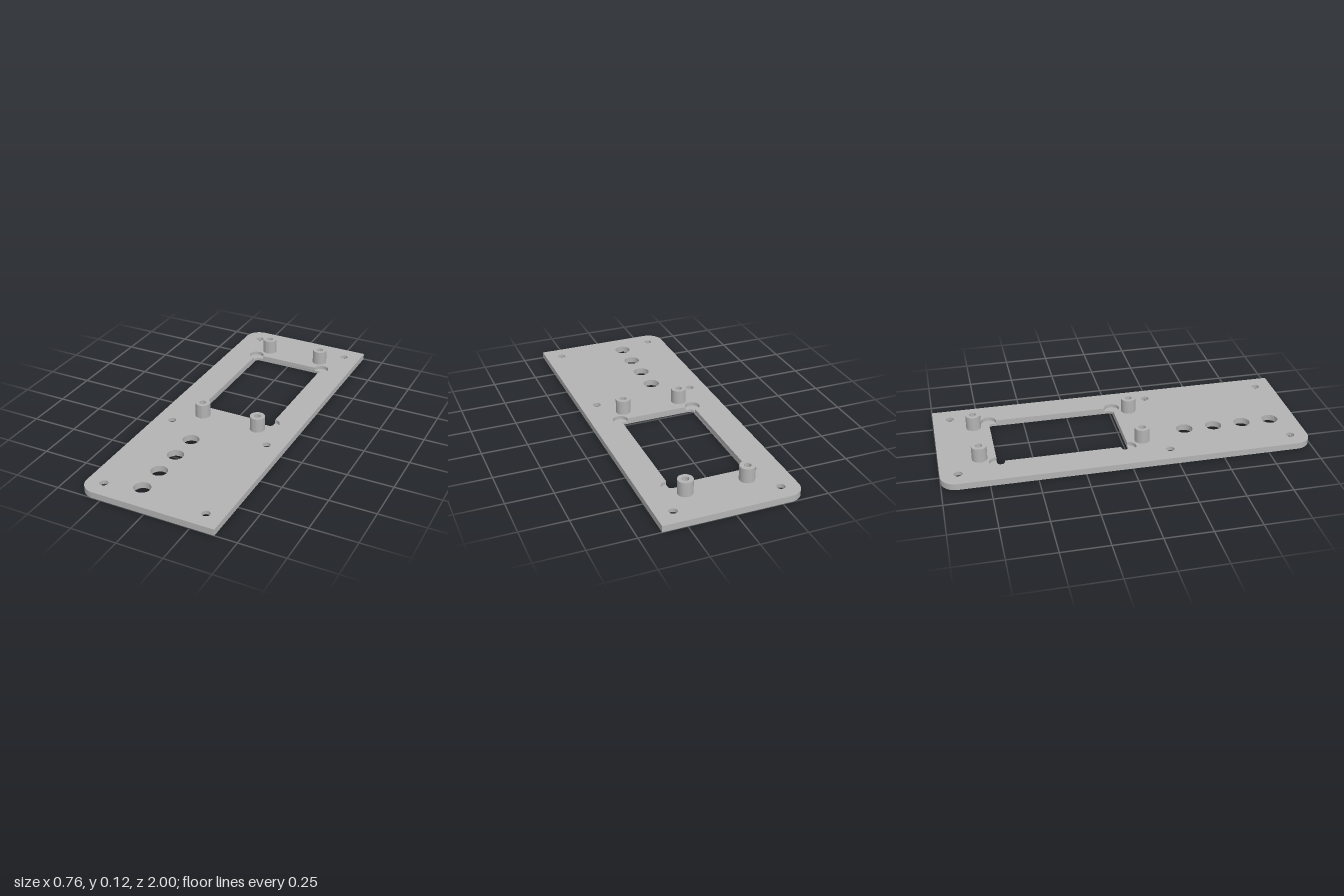
import * as THREE from 'three';
import { toCreasedNormals } from 'three/addons/utils/BufferGeometryUtils.js';

const HALF_W = 0.38, HALF_L = 1, TOP = 0.035, STEP = 0.015;
const WINDOW = { x0: -0.21, x1: 0.22, z0: -0.695, z1: 0.013 };
const SCREW_R = 0.022, SINK_R = 0.039;

const corners = ({ x0, x1, z0, z1 }) => [[x0, z0], [x1, z0], [x1, z1], [x0, z1]];

// Plate outline: the two corners on the -x side are rounded
function outline() {
  const r = 0.085, s = new THREE.Shape();
  s.moveTo(HALF_W, -HALF_L);
  s.lineTo(HALF_W, HALF_L);
  s.absarc(-HALF_W + r, HALF_L - r, r, Math.PI / 2, Math.PI, false);
  s.absarc(-HALF_W + r, -HALF_L + r, r, Math.PI, Math.PI * 1.5, false);
  s.closePath();
  return s;
}

function circle(x, z, r) {
  return new THREE.Path().absarc(x, z, r, 0, Math.PI * 2, true);
}

// Window with small rounded corners
function roundedWindow(r) {
  const p = new THREE.Path();
  corners(WINDOW).forEach(([x, z], k) => {
    const cx = x + (x < 0 ? r : -r), cz = z + (k < 2 ? r : -r);
    p.absarc(cx, cz, r, Math.PI * (1 + k / 2), Math.PI * (1.5 + k / 2), false);
  });
  p.closePath();
  return p;
}

// Window with a round relief at every corner
function relievedWindow(r) {
  const p = new THREE.Path();
  corners(WINDOW).forEach(([x, z], k) => {
    p.absarc(x, z, r, Math.PI * (0.5 + k / 2), Math.PI * (2 + k / 2), false);
  });
  p.closePath();
  return p;
}

export function createModel() {
  const group = new THREE.Group();
  const grey = new THREE.MeshStandardMaterial({ color: 0xb3b3b3 });
  grey.name = 'grey';

  const add = (name, geometry, x = 0, y = 0, z = 0) => {
    const mesh = new THREE.Mesh(toCreasedNormals(geometry, 0.6), grey);
    mesh.name = name;
    mesh.position.set(x, y, z);
    group.add(mesh);
  };

  const screws = [];
  for (const x of [-0.286, 0.286]) for (const z of [-0.905, 0.225, 0.905]) screws.push([x, z]);
  const buttons = [0.356, 0.523, 0.689, 0.854].map((z) => [-0.096, z]);

  // Plate in two layers, so the window reliefs stop part way down
  const layer = (name, windowPath, screwR, top, depth) => {
    const shape = outline();
    shape.holes.push(windowPath);
    screws.forEach(([x, z]) => shape.holes.push(circle(x, z, screwR)));
    buttons.forEach(([x, z]) => shape.holes.push(circle(x, z, 0.045)));
    const g = new THREE.ExtrudeGeometry(shape, { depth, bevelEnabled: false, curveSegments: 24 });
    g.rotateX(Math.PI / 2);
    add(name, g, 0, top, 0);
  };
  layer('lowerPlate', roundedWindow(0.02), SINK_R, STEP, STEP);
  layer('upperPlate', relievedWindow(0.042), SCREW_R, TOP, TOP - STEP);

  // Conical countersinks on the underside of the screw holes
  screws.forEach(([x, z]) => {
    const profile = [[SCREW_R, STEP], [SINK_R, 0]].map(([r, y]) => new THREE.Vector2(r, y));
    add('countersink', new THREE.LatheGeometry(profile, 32), x, 0, z);
  });

  // Hollow mounting posts around the window
  const post = [[0.041, TOP], [0.041, 0.115], [0.019, 0.115], [0.019, 0.04], [0, 0.04]]
    .map(([r, y]) => new THREE.Vector2(r, y));
  for (const x of [-0.161, 0.172]) for (const z of [-0.782, 0.099]) {
    add('mountingPost', new THREE.LatheGeometry(post, 40), x, 0, z);
  }
  return group;
}
